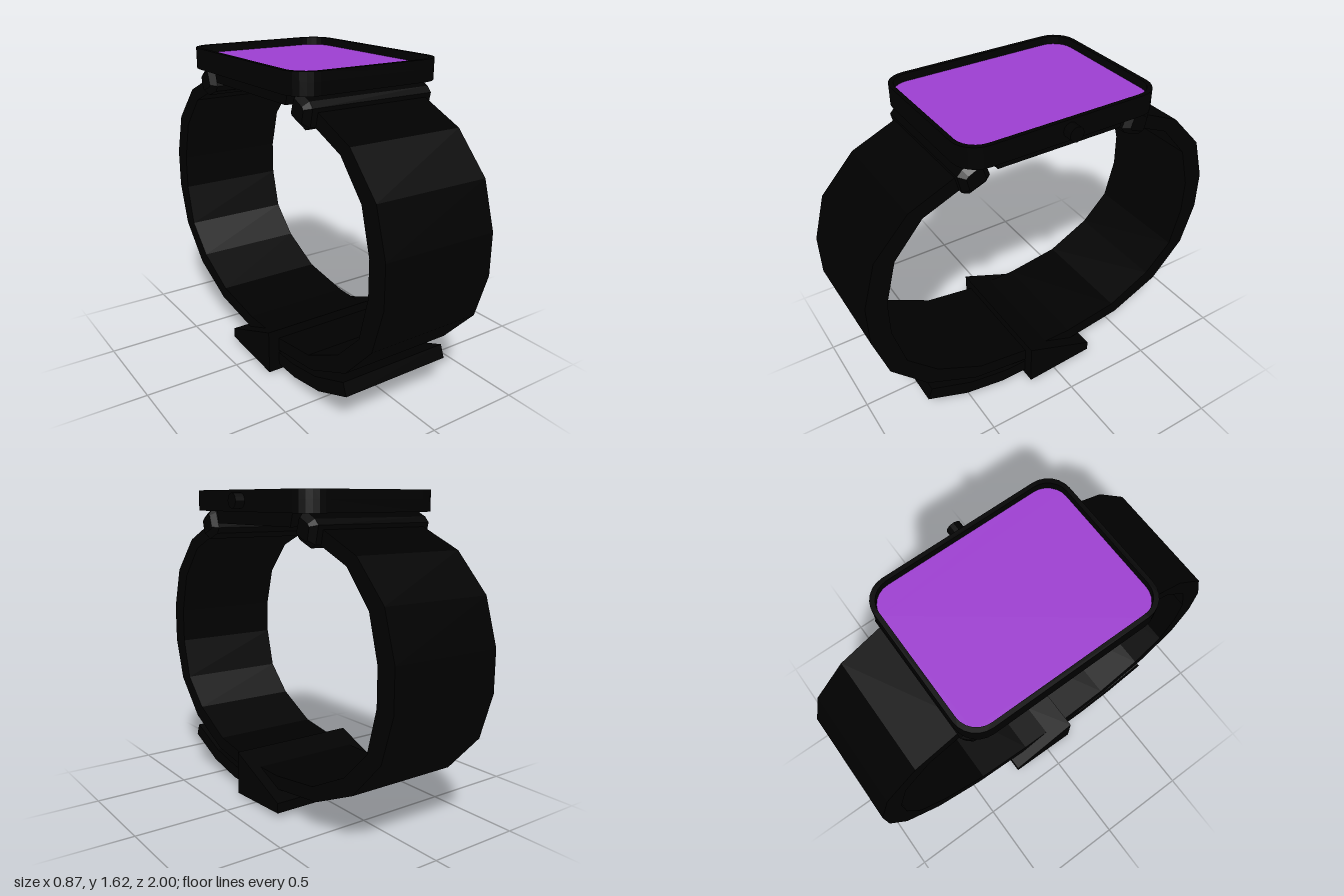
import * as THREE from 'three';

const black = new THREE.MeshStandardMaterial({ name: 'black', color: 0x000000 });
const purple = new THREE.MeshStandardMaterial({ name: 'purple', color: 0x9e3fd2 });
const CX = -0.026; // centre line of the case and strap; the crown sticks out on +x

function addMesh(parent, name, geometry, material = black) {
  const mesh = new THREE.Mesh(geometry, material);
  mesh.name = name;
  parent.add(mesh);
  return mesh;
}

// Side profile of [z, y] points, extruded across the width and centred on CX
function sideExtrude(points, width, bevel = 0) {
  const shape = new THREE.Shape(points.map(([z, y]) => new THREE.Vector2(-z, y)));
  const depth = width - 2 * bevel;
  const geo = new THREE.ExtrudeGeometry(shape, {
    depth, bevelEnabled: bevel > 0, bevelSize: bevel, bevelOffset: -bevel,
    bevelThickness: bevel, bevelSegments: 1,
  });
  geo.translate(0, 0, -depth / 2);
  geo.rotateY(Math.PI / 2);
  geo.translate(CX, 0, 0);
  return geo;
}

// Outline of a rectangle with rounded corners
function roundedRect(halfX, halfZ, r) {
  const s = new THREE.Shape();
  s.absarc(halfX - r, halfZ - r, r, 0, Math.PI / 2);
  s.absarc(r - halfX, halfZ - r, r, Math.PI / 2, Math.PI);
  s.absarc(r - halfX, r - halfZ, r, Math.PI, Math.PI * 1.5);
  s.absarc(halfX - r, r - halfZ, r, Math.PI * 1.5, Math.PI * 2);
  return s;
}

// Horizontal plate from y0 to y1
function plate(shape, y0, y1) {
  const geo = new THREE.ExtrudeGeometry(shape, {
    depth: y1 - y0, bevelEnabled: false, curveSegments: 3,
  });
  geo.rotateX(-Math.PI / 2);
  geo.translate(CX, y0, 0);
  return geo;
}

export function createModel() {
  const watch = new THREE.Group();
  watch.name = 'watch';

  // Case with a raised rim around the recessed screen
  const caseOutline = roundedRect(0.411, 0.525, 0.12);
  const rimOutline = caseOutline.clone();
  rimOutline.holes.push(roundedRect(0.389, 0.503, 0.105));
  addMesh(watch, 'case', plate(caseOutline, 1.515, 1.575));
  addMesh(watch, 'rim', plate(rimOutline, 1.575, 1.62));
  addMesh(watch, 'screen', plate(roundedRect(0.389, 0.503, 0.105), 1.574, 1.58), purple);

  // Crown
  const crown = addMesh(watch, 'crown', new THREE.CylinderGeometry(0.038, 0.038, 0.07, 12).toNonIndexed());
  crown.geometry.computeVertexNormals();
  crown.rotation.z = Math.PI / 2;
  crown.position.set(0.4, 1.568, 0);

  // Sensor back, tapering downwards
  addMesh(watch, 'caseBack', sideExtrude(
    [[0.355, 1.52], [-0.355, 1.52], [-0.335, 1.45], [0.335, 1.45]], 0.7));

  // Faceted strap connectors at both ends of the case
  const lug = [[0.525, 1.465], [0.5, 1.492], [0.42, 1.53], [0.392, 1.505],
    [0.365, 1.425], [0.385, 1.395], [0.47, 1.362], [0.505, 1.378]];
  for (const side of [1, -1]) {
    addMesh(watch, side > 0 ? 'frontConnector' : 'backConnector',
      sideExtrude(lug.map(([z, y]) => [z * side, y]), 0.72, 0.028));
  }

  // Open strap loop: down the outside, up the far side, and back along the inside
  const outer = [[0.45, 1.475], [0.75, 1.345], [0.93, 1.155], [1, 0.925], [1, 0.715],
    [0.93, 0.485], [0.745, 0.285], [0.47, 0.157], [0.14, 0.11]];
  const inner = [[0.43, 1.405], [0.685, 1.297], [0.835, 1.125], [0.895, 0.908], [0.895, 0.725],
    [0.838, 0.507], [0.685, 0.352], [0.44, 0.226], [0.13, 0.18]];
  const flip = (pts) => pts.map(([z, y]) => [-z, y]);
  addMesh(watch, 'strap', sideExtrude(
    [...outer, ...flip(outer).reverse(), ...flip(inner), ...inner.slice().reverse()], 0.605));

  // Loose strap end, folded back under the loop
  addMesh(watch, 'strapTail', sideExtrude(
    [[0.73, 0.23], [0.755, 0.165], [0.53, 0.07], [0.31, 0.03], [0, 0.03],
      [0, 0.1], [0.29, 0.1], [0.5, 0.137]], 0.605));

  // Wedge-shaped clasp
  addMesh(watch, 'clasp', sideExtrude(
    [[0.16, 0.234], [0.16, 0], [-0.23, 0.025], [-0.23, 0.078]], 0.725));

  return watch;
}
